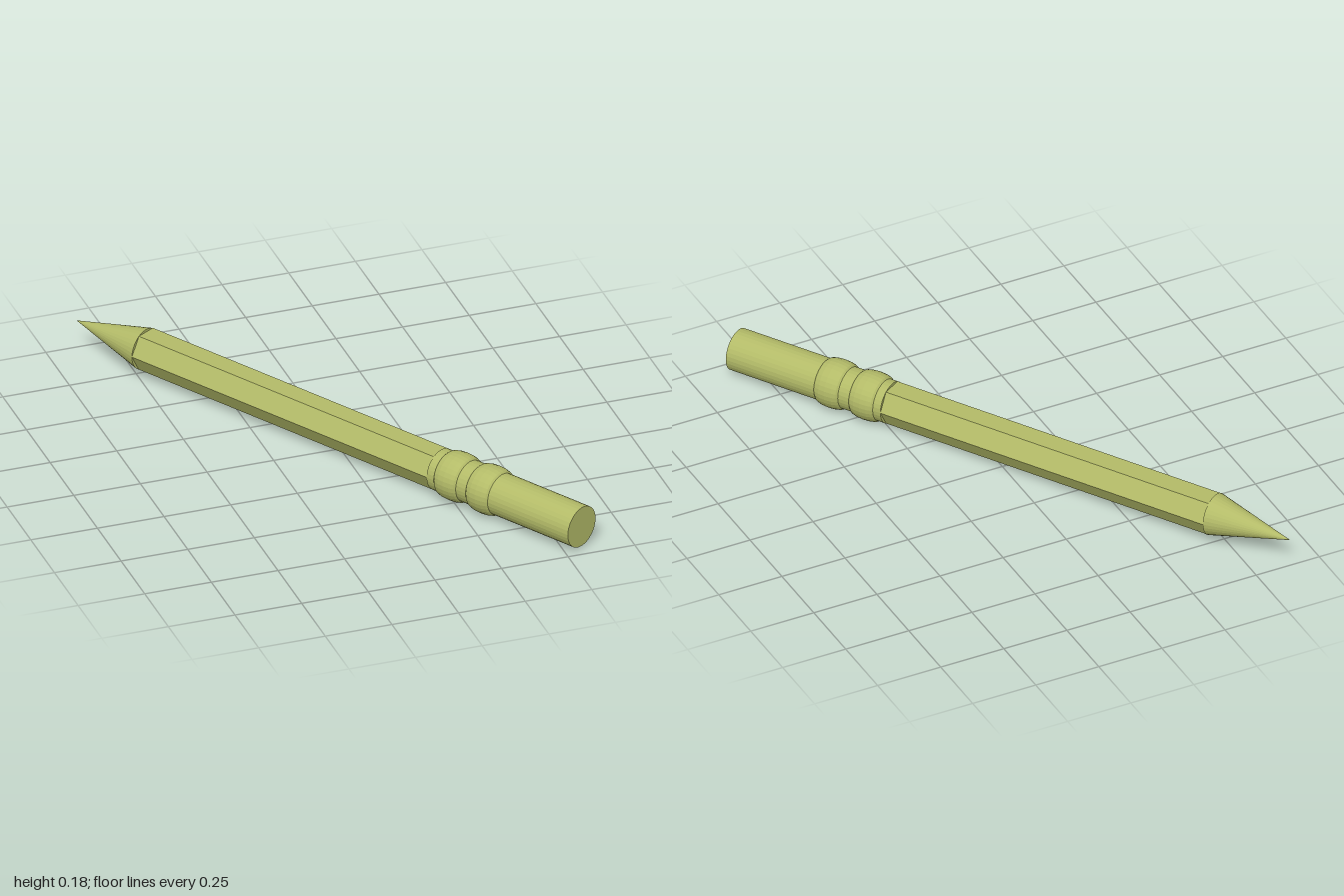
import * as THREE from 'three';

const R = 0.078;          // shaft radius
const SIDES = 32;
const END = new THREE.Vector3(0.566, 0.088, 0.957);   // centre of the eraser's end
const TIP = new THREE.Vector3(-0.635, 0.11, -1);

export function createModel() {
  const group = new THREE.Group();
  group.name = 'pencil';
  const material = new THREE.MeshStandardMaterial({ color: 0xb3bb68, flatShading: true });
  const length = END.distanceTo(TIP);
  const coneHeight = 0.315, ferruleStart = 0.345, ferruleEnd = 0.642;
  const coneBase = length - coneHeight;

  const pencil = new THREE.Group();
  const add = (name, geometry, y = 0) => {
    const mesh = new THREE.Mesh(geometry, material);
    mesh.name = name;
    mesh.position.y = y;
    pencil.add(mesh);
  };

  // Eraser: plain cylinder
  add('eraser', new THREE.CylinderGeometry(R, R, ferruleStart, SIDES), ferruleStart / 2);

  // Ferrule: sleeve with two rounded ridges
  const profile = [[0, ferruleStart], [R, ferruleStart]];
  for (const centre of [0.415, 0.56]) {
    for (let i = 0; i <= 6; i++) {
      const a = Math.PI * i / 6;
      profile.push([R + 0.0125 * Math.sin(a), centre - 0.05 * Math.cos(a)]);
    }
  }
  profile.push([R, ferruleEnd], [0, ferruleEnd]);
  add('ferrule', new THREE.LatheGeometry(profile.map(p => new THREE.Vector2(...p)), SIDES));

  // Hexagonal body, flat face up
  const bodyLength = coneBase - ferruleEnd;
  const body = new THREE.CylinderGeometry(R, R, bodyLength, 6);
  body.rotateY(Math.PI / 6);
  add('body', body, ferruleEnd + bodyLength / 2);

  // Sharpened point
  add('point', new THREE.ConeGeometry(R, coneHeight, SIDES), coneBase + coneHeight / 2);

  // Lay the pencil down along its axis, keeping local z upward
  const axis = TIP.clone().sub(END).normalize();
  const side = axis.clone().cross(new THREE.Vector3(0, 1, 0)).normalize();
  const up = side.clone().cross(axis);
  pencil.quaternion.setFromRotationMatrix(new THREE.Matrix4().makeBasis(side, axis, up));
  pencil.position.copy(END);
  pencil.name = 'pencilParts';
  group.add(pencil);
  return group;
}
